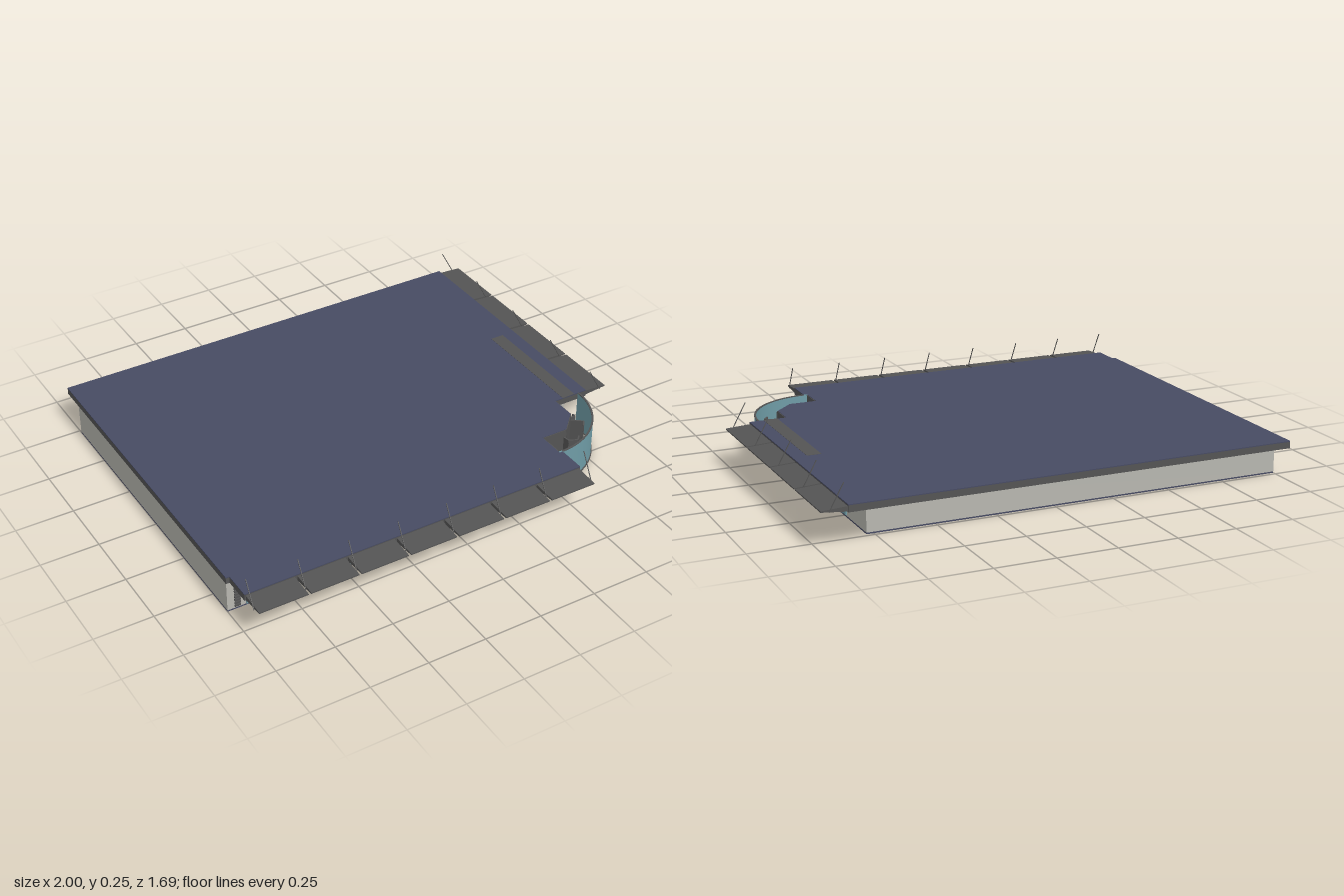
import * as THREE from 'three';
import { toCreasedNormals } from 'three/addons/utils/BufferGeometryUtils.js';

const mat = (name, color) => {
  const m = new THREE.MeshStandardMaterial({ color });
  m.name = name;
  return m;
};

export function createModel() {
  const root = new THREE.Group();
  const navy = mat('navy roof and floor', 0x474b63);
  const grey = mat('dark grey metal', 0x545454);
  const wall = mat('pale wall', 0xb8b7b0);
  const glass = mat('blue glass', 0x6f9ca6);
  const frame = mat('frame grey', 0x858b8d);

  const add = (name, geo, m, parent = root) => {
    const mesh = new THREE.Mesh(geo, m);
    mesh.name = name;
    parent.add(mesh);
    return mesh;
  };
  // box given by its limits
  const box = (name, m, x0, x1, y0, y1, z0, z1, parent = root) => {
    const mesh = add(name, new THREE.BoxGeometry(x1 - x0, y1 - y0, z1 - z0), m, parent);
    mesh.position.set((x0 + x1) / 2, (y0 + y1) / 2, (z0 + z1) / 2);
    return mesh;
  };
  // plan outline of [x, z] points raised from y0 to y1
  const slab = (name, m, pts, y0, y1) => {
    const shape = new THREE.Shape(pts.map(([x, z]) => new THREE.Vector2(x, -z)));
    const geo = new THREE.ExtrudeGeometry(shape, { depth: y1 - y0, bevelEnabled: false });
    geo.rotateX(-Math.PI / 2).translate(0, y0, 0);
    return add(name, geo, m);
  };
  // upright thin panel between two plan points
  const panel = (name, m, [x0, z0], [x1, z1], y0, y1, t = 0.006) => {
    const mesh = add(name, new THREE.BoxGeometry(Math.hypot(x1 - x0, z1 - z0), y1 - y0, t), m);
    mesh.position.set((x0 + x1) / 2, (y0 + y1) / 2, (z0 + z1) / 2);
    mesh.rotation.y = -Math.atan2(z1 - z0, x1 - x0);
    return mesh;
  };

  // stepped corner shared by walls and roof
  const step = [[0.73, 0.31], [0.73, 0.42], [0.65, 0.5], [0.53, 0.5], [0.53, 0.62]];

  // building body with recessed entrances
  const plan = [
    [-1, -0.735], [0.78, -0.735], [0.78, -0.24], [0.71, -0.24], [0.71, 0.02], [0.78, 0.02], [0.78, 0.31],
    ...step, [0.48, 0.62], [0.48, 0.55], [0.35, 0.55], [0.35, 0.62],
    [-0.57, 0.62], [-0.57, 0.55], [-0.83, 0.55], [-0.83, 0.62], [-1, 0.62],
  ];
  slab('floor', navy, plan, 0, 0.006);
  slab('walls', wall, plan, 0.006, 0.136);

  // roof slab with coloured top
  const roofPlan = [
    [-1, -0.845], [0.89, -0.845], [0.89, 0.31], ...step,
    [0.545, 0.62], [0.545, 0.74], [-0.985, 0.74], [-0.985, 0.62], [-1, 0.62],
  ];
  slab('roofSlab', grey, roofPlan, 0.136, 0.163);
  slab('roofTop', navy, roofPlan, 0.163, 0.167);
  box('roofStrip', grey, 0.77, 0.83, 0.166, 0.168, -0.23, 0.31);

  // awnings: wedge panels and slanted stays, built along +x with the eave facing +z
  const awningRow = (name, count, start, end, stays) => {
    const g = new THREE.Group();
    g.name = name;
    const pitch = (end - start) / count;
    const profile = new THREE.Shape([[0, 0.138], [0.105, 0.148], [0.105, 0.153], [0, 0.159]]
      .map(([z, y]) => new THREE.Vector2(-z, y)));
    for (let i = 0; i < count; i++) {
      const geo = new THREE.ExtrudeGeometry(profile, { depth: pitch - 0.011, bevelEnabled: false });
      geo.rotateY(Math.PI / 2).translate(start + i * pitch + 0.0055, 0, 0);
      add('awningPanel', geo, grey, g);
    }
    for (let i = 0; i <= stays; i++) {
      const stay = add('awningStay', new THREE.BoxGeometry(0.003, 0.122, 0.003), grey, g);
      stay.position.set(start + i * pitch, 0.2, 0.045);
      stay.rotation.x = -0.5;
    }
    root.add(g);
    return g;
  };
  awningRow('frontAwnings', 7, -0.985, 0.545, 7).position.z = 0.74;
  const side = awningRow('sideAwnings', 4, -0.31, 0.845, 4);
  side.rotation.y = Math.PI / 2;
  side.position.x = 0.89;

  // front windows between round columns
  const columns = [-0.55, -0.33, -0.11, 0.11, 0.33, 0.505];
  columns.forEach((x, i) => {
    const c = add('frontColumn', new THREE.CylinderGeometry(0.02, 0.02, 0.136, 16), grey);
    c.position.set(x, 0.07, 0.628);
    if (i < 4) {
      box('frontWindow', glass, x + 0.02, columns[i + 1] - 0.02, 0.01, 0.134, 0.618, 0.626);
      box('windowSill', grey, x + 0.02, columns[i + 1] - 0.02, 0.004, 0.01, 0.618, 0.628);
    }
  });

  // recessed entrance glazing with thin mullions
  const entrance = (name, x0, x1, bars) => {
    const g = new THREE.Group();
    g.name = name;
    box('entranceGlass', glass, x0, x1, 0.008, 0.135, 0, 0.005, g);
    for (let i = 0; i <= bars; i++) {
      const x = x0 + 0.003 + ((x1 - x0 - 0.006) * i) / bars;
      box('mullion', frame, x - 0.001, x + 0.001, 0.008, 0.135, 0.004, 0.007, g);
    }
    for (const y of [0.04, 0.07, 0.1]) box('transom', frame, x0, x1, y - 0.001, y + 0.001, 0.004, 0.007, g);
    root.add(g);
    return g;
  };
  entrance('mainEntrance', -0.83, -0.57, 7).position.z = 0.55;
  entrance('cornerEntrance', 0.35, 0.48, 4).position.z = 0.55;
  const sideDoor = entrance('sideEntrance', -0.02, 0.24, 7);
  sideDoor.rotation.y = Math.PI / 2;
  sideDoor.position.x = 0.71;

  // service door and louvre on the front, window, column and door on the left side
  box('serviceDoor', glass, -0.92, -0.865, 0.008, 0.08, 0.618, 0.625);
  for (let i = 0; i < 9; i++) {
    const y = 0.015 + i * 0.0135;
    box('louvre', grey, -0.97, -0.945, y, y + 0.008, 0.618, 0.627);
  }
  box('sideWindow', glass, 0.778, 0.785, 0.01, 0.134, -0.53, -0.27);
  const sideColumn = add('sideColumn', new THREE.CylinderGeometry(0.02, 0.02, 0.136, 16), grey);
  sideColumn.position.set(0.785, 0.07, -0.255);
  box('sideServiceDoor', glass, 0.778, 0.785, 0.008, 0.08, 0.25, 0.31);

  // quarter-round glazed corner bay
  const arc = (name, m, r0, r1, y0, y1) => {
    const s = new THREE.Shape();
    s.absarc(0, 0, r1, -Math.PI / 2, 0, false);
    s.absarc(0, 0, r0, 0, -Math.PI / 2, true);
    const geo = new THREE.ExtrudeGeometry(s, { depth: y1 - y0, bevelEnabled: false, curveSegments: 32 });
    geo.rotateX(-Math.PI / 2).translate(0.545, y0, 0.31);
    add(name, toCreasedNormals(geo, 0.5), m);
  };
  arc('bayGlass', glass, 0.303, 0.309, 0.008, 0.164);
  arc('bayTopRim', grey, 0.302, 0.31, 0.164, 0.167);
  arc('bayBaseRim', grey, 0.3, 0.313, 0.003, 0.008);
  box('bayEndGlass', glass, 0.525, 0.546, 0.008, 0.166, 0.612, 0.62);

  // dark stepped lining and small fins inside the bay
  for (let i = 0; i < step.length - 1; i++) panel('bayLining', grey, step[i], step[i + 1], 0.004, 0.165);
  const fins = [
    [[0.73, 0.4], [0.77, 0.4], [0.77, 0.385]],
    [[0.73, 0.41], [0.78, 0.45], [0.76, 0.475]],
    [[0.64, 0.5], [0.645, 0.53], [0.68, 0.545], [0.7, 0.525]],
    [[0.53, 0.565], [0.562, 0.565], [0.562, 0.5]],
  ];
  for (const f of fins) {
    for (let i = 0; i < f.length - 1; i++) panel('bayFin', grey, f[i], f[i + 1], 0.008, 0.13);
  }
  return root;
}
